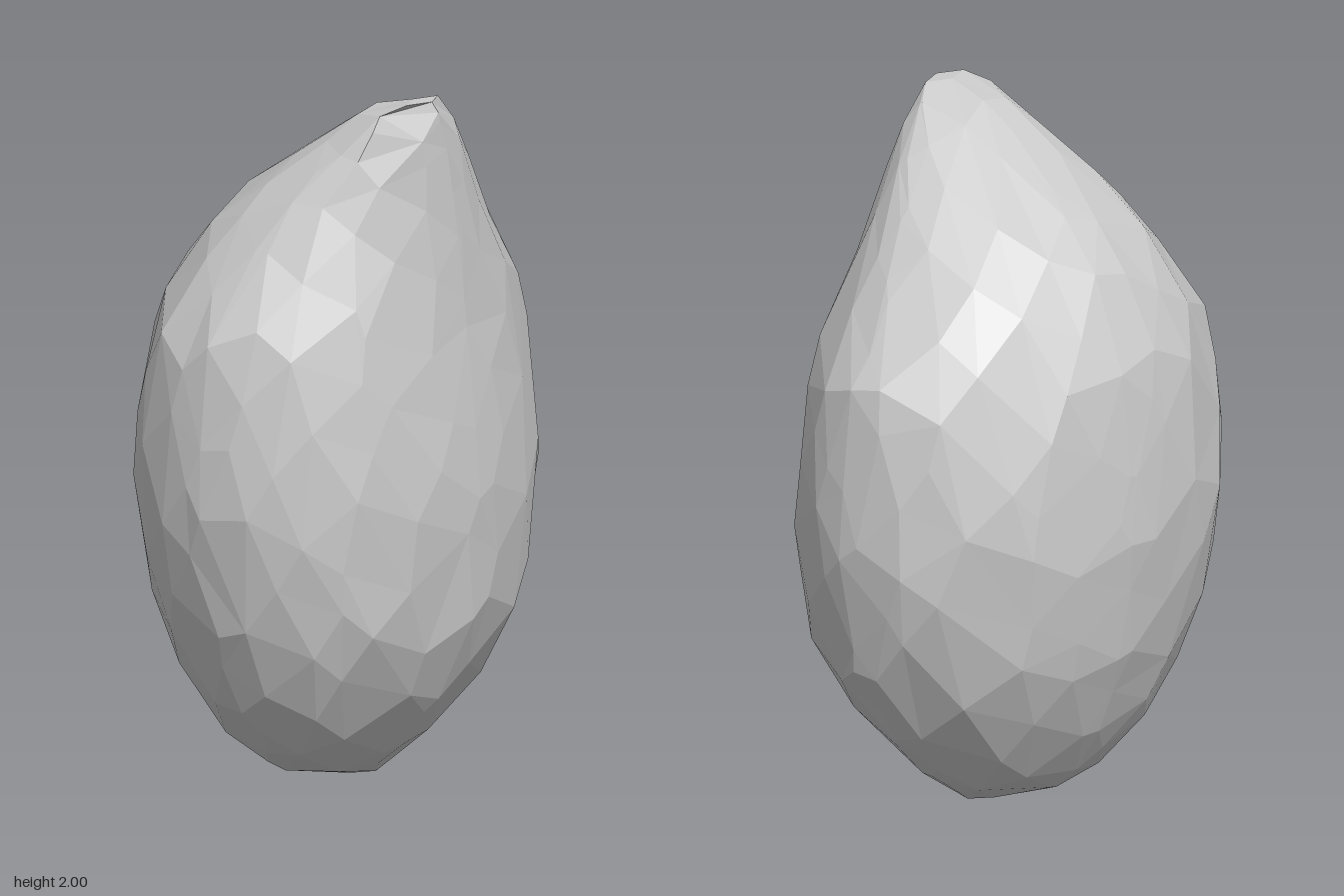
import * as THREE from 'three';
import { ConvexGeometry } from 'three/addons/geometries/ConvexGeometry.js';

// Cross-sections from base to tip: [y, xMin, xMax, zMin, zMax]
const SECTIONS = [
  [0.0, 0.0, 0.12, 0.0, 0.09],
  [0.05, -0.25, 0.2, -0.16, 0.16],
  [0.12, -0.35, 0.3, -0.24, 0.25],
  [0.26, -0.48, 0.44, -0.335, 0.36],
  [0.5, -0.595, 0.6, -0.435, 0.465],
  [0.85, -0.67, 0.67, -0.487, 0.49],
  [1.05, -0.665, 0.655, -0.475, 0.477],
  [1.34, -0.635, 0.62, -0.44, 0.45],
  [1.6, -0.48, 0.42, -0.31, 0.435],
  [1.73, -0.4, 0.3, -0.17, 0.43],
  [1.86, -0.31, 0.17, 0.04, 0.425],
  [1.97, -0.24, 0.03, 0.21, 0.42],
  [2.0, -0.19, -0.04, 0.34, 0.405],
];
const CAP = 0.99; // part of the unit sphere that maps onto the height

// Interpolated cross-section at a height
function sectionAt(y) {
  let i = 0;
  while (i < SECTIONS.length - 2 && SECTIONS[i + 1][0] < y) i++;
  const a = SECTIONS[i], b = SECTIONS[i + 1];
  const t = (y - a[0]) / (b[0] - a[0]);
  return a.map((v, k) => THREE.MathUtils.lerp(v, b[k], t));
}

// Point of the unit sphere for a height and an angle
function spherePoint(y, angle) {
  const h = (y - 1) * CAP;
  const r = Math.sqrt(1 - h * h);
  return new THREE.Vector3(r * Math.cos(angle), h, r * Math.sin(angle));
}

// Rounded-oval outline: fuller at the back, pinched at the front near the tip
function toStone(p) {
  const y = THREE.MathUtils.clamp(1 + p.y / CAP, 0, 2);
  const [, x0, x1, z0, z1] = sectionAt(y);
  const length = Math.hypot(p.x, p.z);
  const c = p.x / length, s = p.z / length;
  const n = s < 0 ? 2.2 : 2.15 - 0.35 * THREE.MathUtils.smoothstep(y, 1.3, 1.7);
  const k = (Math.abs(c) ** n + Math.abs(s) ** n) ** (-1 / n);
  return p.set((x0 + x1) / 2 + ((x1 - x0) / 2) * c * k, y, (z0 + z1) / 2 + ((z1 - z0) / 2) * s * k);
}

export function createModel() {
  let seed = 7;
  const random = () => (seed = (seed * 16807) % 2147483647) / 2147483647;
  const points = [];

  // Extremes of every section fix the leaning silhouette
  for (const [y] of SECTIONS) {
    for (let q = 0; q < 4; q++) points.push(spherePoint(y, (q * Math.PI) / 2));
  }

  // Irregular spiral of points gives the chipped facets
  const count = 200;
  for (let i = 0; i < count; i++) {
    const y = 0.03 + (1.94 * (i + random())) / count;
    points.push(spherePoint(y, i * 2.39996 + (random() - 0.5) * 0.3));
  }

  // Faceted sphere, moved point by point onto the stone's sections
  const geometry = new ConvexGeometry(points);
  const position = geometry.attributes.position;
  const v = new THREE.Vector3();
  for (let i = 0; i < position.count; i++) {
    toStone(v.fromBufferAttribute(position, i));
    position.setXYZ(i, v.x, v.y, v.z);
  }
  geometry.computeVertexNormals();

  const material = new THREE.MeshStandardMaterial({ color: 0xcccccc, flatShading: true });
  const body = new THREE.Mesh(geometry, material);
  body.name = 'facetedStone';

  const group = new THREE.Group();
  group.name = 'pointedStone';
  group.add(body);
  return group;
}
